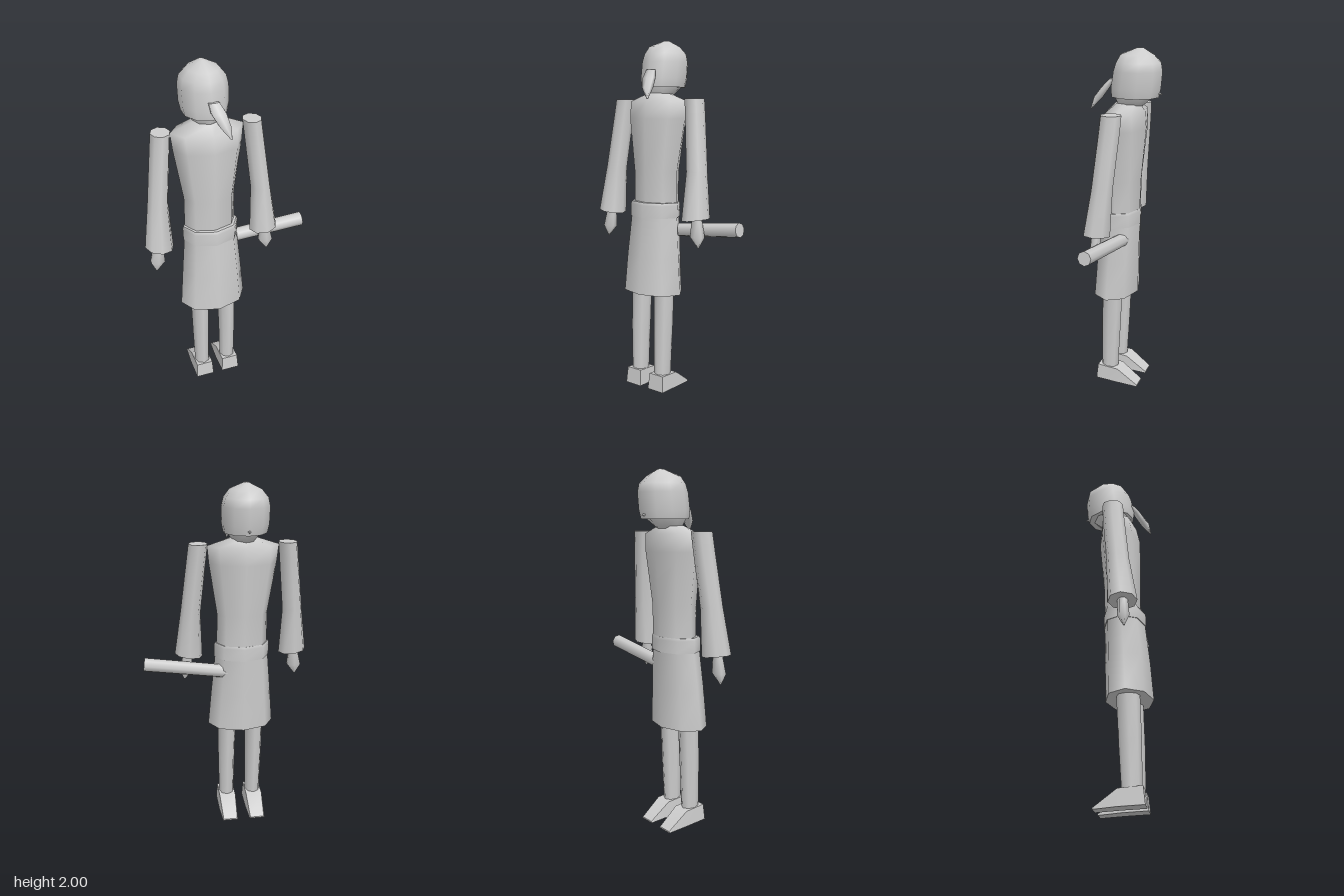
import * as THREE from 'three';

const MID = -0.0925; // the body's own centre line in x

// Lofts elliptical rings, listed from bottom to top: [y, x, z, rx, rz, tilt]
function loft(rings, sides = 8) {
  const pos = [], idx = [];
  const point = (r, i) => {
    const a = (i / sides) * Math.PI * 2;
    const dx = r[3] * Math.sin(a);
    return [r[1] + dx, r[0] + (r[5] || 0) * dx, r[2] + r[4] * Math.cos(a)];
  };
  for (const r of rings) for (let i = 0; i < sides; i++) pos.push(...point(r, i));
  for (let k = 0; k < rings.length - 1; k++) {
    for (let i = 0; i < sides; i++) {
      const j = (i + 1) % sides, a = k * sides, b = a + sides;
      idx.push(a + i, a + j, b + j, a + i, b + j, b + i);
    }
  }
  // End caps with their own corners, so their rims stay sharp
  [rings[0], rings[rings.length - 1]].forEach((r, top) => {
    const c = pos.length / 3;
    pos.push(r[1], r[0], r[2]);
    for (let i = 0; i < sides; i++) pos.push(...point(r, i));
    for (let i = 0; i < sides; i++) {
      const p = c + 1 + i, q = c + 1 + ((i + 1) % sides);
      idx.push(c, top ? p : q, top ? q : p);
    }
  });
  const g = new THREE.BufferGeometry();
  g.setAttribute('position', new THREE.Float32BufferAttribute(pos, 3));
  g.setIndex(idx);
  g.computeVertexNormals();
  return g;
}

// Ring from its back and front z limits, centred on the body
const ring = (y, rx, z0, z1) => [y, MID, (z0 + z1) / 2, rx, (z1 - z0) / 2];

export function createModel() {
  const group = new THREE.Group();
  const grey = new THREE.MeshStandardMaterial({ color: 0xcccccc });
  grey.name = 'plain grey';
  const add = (name, geometry, parent = group) => {
    const m = new THREE.Mesh(geometry, grey);
    m.name = name;
    parent.add(m);
    return m;
  };

  // Head
  add('neckAndJaw', loft([
    ring(1.68, 0.055, -0.07, 0.06), ring(1.7, 0.065, -0.09, 0.065),
    ring(1.75, 0.105, -0.15, 0.085), ring(1.8, 0.11, -0.15, 0.08),
  ]));
  add('head', loft([
    [1.742, MID, -0.038, 0.118, 0.135], ring(1.79, 0.128, -0.185, 0.1),
    ring(1.88, 0.129, -0.193, 0.085), ring(1.925, 0.118, -0.185, 0.07),
    ring(1.965, 0.085, -0.145, 0.045), ring(2.0, 0.012, -0.085, -0.05),
  ], 10));
  const nose = add('nose', new THREE.ConeGeometry(0.022, 0.05, 4));
  nose.position.set(MID, 1.765, -0.172);
  nose.rotation.x = -Math.PI / 2 - 0.2;

  // Tied tail hanging behind the head
  add('hairTail', loft([
    [1.675, -0.025, 0.192, 0.004, 0.004], [1.735, -0.048, 0.16, 0.032, 0.026],
    [1.79, -0.068, 0.122, 0.042, 0.024], [1.835, -0.082, 0.09, 0.032, 0.012],
  ], 6));

  // Body and clothing
  add('torso', loft([
    ring(1.05, 0.145, -0.07, 0.13), ring(1.28, 0.143, -0.078, 0.133),
    ring(1.57, 0.188, -0.105, 0.135), ring(1.665, 0.197, -0.098, 0.115),
    ring(1.71, 0.062, -0.07, 0.07),
  ]));
  add('belt', loft([
    ring(1.02, 0.158, -0.077, 0.16), ring(1.09, 0.16, -0.078, 0.16),
    ring(1.105, 0.154, -0.073, 0.15),
  ]));
  add('skirt', loft([
    ring(0.585, 0.193, -0.064, 0.196), ring(0.8, 0.175, -0.068, 0.18),
    ring(1.03, 0.153, -0.073, 0.155),
  ]));

  for (const s of [1, -1]) {
    const side = s > 0 ? 'left' : 'right';
    const at = (x) => MID + s * (x - MID);

    // Arm with flared sleeve, and a pointed hand
    add(side + 'Sleeve', loft([
      [1.028, at(0.21), 0.07, 0.079, 0.078, s * 0.13],
      [1.29, at(0.197), 0.042, 0.056, 0.062, s * 0.08],
      [1.6, at(0.162), 0.012, 0.053, 0.06],
      [1.678, at(0.153), 0.006, 0.052, 0.059],
    ]));
    add(side + 'Hand', loft([
      [0.875, at(0.235), 0.08, 0.004, 0.004],
      [0.935, at(0.226), 0.076, 0.044, 0.032],
      [1.04, at(0.217), 0.07, 0.026, 0.028],
    ], 6));

    // Leg and wedge shoe
    add(side + 'Leg', loft([
      [0.08, at(-0.011), 0.085, 0.045, 0.052],
      [0.35, at(-0.01), 0.077, 0.05, 0.06],
      [0.62, at(-0.011), 0.067, 0.054, 0.063],
    ]));
    const shoe = new THREE.BoxGeometry(0.108, 0.1, 0.25, 1, 1, 2);
    const p = shoe.attributes.position;
    for (let i = 0; i < p.count; i++) {
      const z = p.getZ(i), up = p.getY(i) > 0;
      const x = p.getX(i) * (up ? 0.9 : 1);
      if (z > 0.1) p.setXYZ(i, x, up ? 0.108 : 0.015, up ? 0.145 : 0.155);
      else if (z > -0.1) p.setXYZ(i, x, up ? 0.098 : 0.009, 0.018);
      else p.setXYZ(i, x * 0.85, up ? 0.008 : 0, -0.105);
    }
    shoe.computeVertexNormals();
    add(side + 'Shoe', shoe).position.x = at(-0.01);
  }

  // Round scabbard running out sideways from the hip
  const start = new THREE.Vector3(-0.03, 0.938, -0.008);
  const end = new THREE.Vector3(0.467, 0.993, 0.032);
  const dir = end.clone().sub(start);
  const scabbard = add('scabbard', new THREE.CylinderGeometry(0.04, 0.038, dir.length(), 8));
  scabbard.position.copy(start).add(end).multiplyScalar(0.5);
  scabbard.quaternion.setFromUnitVectors(new THREE.Vector3(0, 1, 0), dir.normalize());

  return group;
}
